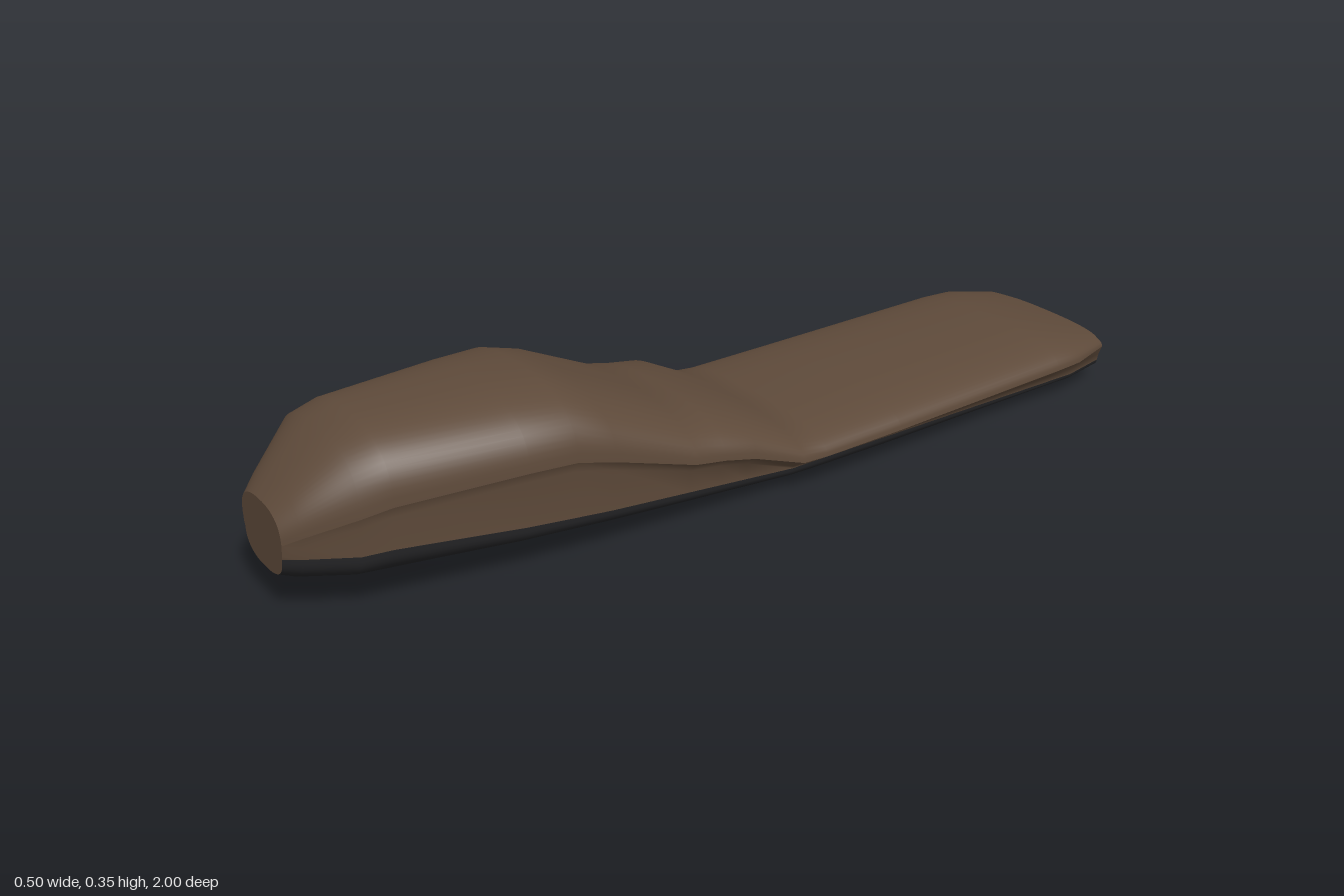
import * as THREE from 'three';

// Stations, front to back: [z, topY, lipX, lipY, bottomY]
const stations = [
  [1.0, 0.22, 0.085, 0.16, 0.08],
  [0.97, 0.25, 0.108, 0.175, 0.07],
  [0.88, 0.335, 0.165, 0.21, 0.06],
  [0.82, 0.35, 0.176, 0.22, 0.056],
  [0.56, 0.35, 0.213, 0.225, 0.043],
  [0.46, 0.35, 0.219, 0.22, 0.038],
  [0.38, 0.325, 0.224, 0.2, 0.033],
  [0.2, 0.237, 0.235, 0.145, 0.02],
  [0.13, 0.217, 0.238, 0.135, 0.016],
  [0.06, 0.205, 0.242, 0.12, 0.012],
  [-0.06, 0.14, 0.249, 0.078, 0.004],
  [-0.12, 0.13, 0.25, 0.076, 0.001],
  [-0.32, 0.133, 0.248, 0.078, 0.001],
  [-0.8, 0.145, 0.238, 0.086, 0.016],
  [-0.87, 0.141, 0.234, 0.087, 0.017],
  [-0.98, 0.116, 0.2, 0.087, 0.018],
  [-1.0, 0.108, 0.165, 0.087, 0.027],
];

// Seam between cushion and base: tucked in under the lip, rising towards the nose
const seamX = ([, , lipX]) => Math.min(0.21, lipX * 0.94);
const seamY = ([z]) => THREE.MathUtils.clamp(THREE.MathUtils.mapLinear(z, -0.06, 0.8, 0.05, 0.13), 0.05, 0.13);

// Half superellipse from (w, edgeY) over (0, crownY) to (-w, edgeY)
function arch(w, edgeY, crownY, steps = 32) {
  const power = 2 / 2.5, pts = [];
  for (let i = 0; i <= steps; i++) {
    const a = (Math.PI * i) / steps, c = Math.cos(a), s = Math.max(Math.sin(a), 0);
    pts.push([Math.sign(c) * w * Math.abs(c) ** power, edgeY + (crownY - edgeY) * s ** power]);
  }
  return pts;
}

// The cross-section pieces, all running anticlockwise seen from the front
const mirrored = (pts) => pts.map(([x, y]) => [-x, y]);
const topLine = ([, topY, lipX, lipY]) => arch(lipX, lipY, topY);
const baseLine = (s) => mirrored(arch(seamX(s), seamY(s), s[4]));
const leftLine = (s) => [
  [seamX(s), seamY(s)],
  [seamX(s) + 0.003, Math.max(s[3] - 0.022, seamY(s) + 0.004)],
  [s[2], s[3]],
];
const rightLine = (s) => mirrored(leftLine(s)).reverse();

function makeMesh(name, pos, index, material) {
  const g = new THREE.BufferGeometry();
  g.setAttribute('position', new THREE.Float32BufferAttribute(pos, 3));
  g.setIndex(index);
  g.computeVertexNormals();
  const mesh = new THREE.Mesh(g, material);
  mesh.name = name;
  return mesh;
}

// Skin one cross-section piece through every station
function loft(name, line, material) {
  const pos = [], index = [];
  const n = line(stations[0]).length;
  stations.forEach((s, j) => {
    for (const [x, y] of line(s)) pos.push(x, y, s[0]);
    if (j === 0) return;
    for (let i = 0; i < n - 1; i++) {
      const a = (j - 1) * n + i, b = a + n;
      index.push(a, b, a + 1, a + 1, b, b + 1);
    }
  });
  return makeMesh(name, pos, index, material);
}

// Close one end with a fan around its middle
function cap(name, s, front, material) {
  const ring = [...topLine(s), ...rightLine(s), ...baseLine(s), ...leftLine(s)];
  const pos = [0, (s[1] + s[4]) / 2, s[0]], index = [];
  ring.forEach(([x, y], i) => {
    pos.push(x, y, s[0]);
    const a = i + 1, b = ((i + 1) % ring.length) + 1;
    index.push(0, front ? a : b, front ? b : a);
  });
  return makeMesh(name, pos, index, material);
}

export function createModel() {
  const leather = new THREE.MeshStandardMaterial({ color: 0x5e4a3a });
  const plastic = new THREE.MeshStandardMaterial({ color: 0x242426 });
  const seat = new THREE.Group();
  seat.name = 'seat';
  seat.add(
    loft('cushionTop', topLine, leather),
    loft('leftSidePanel', leftLine, leather),
    loft('rightSidePanel', rightLine, leather),
    loft('seatBase', baseLine, plastic),
    cap('frontEnd', stations[0], true, leather),
    cap('rearEnd', stations[stations.length - 1], false, leather),
  );
  return seat;
}
